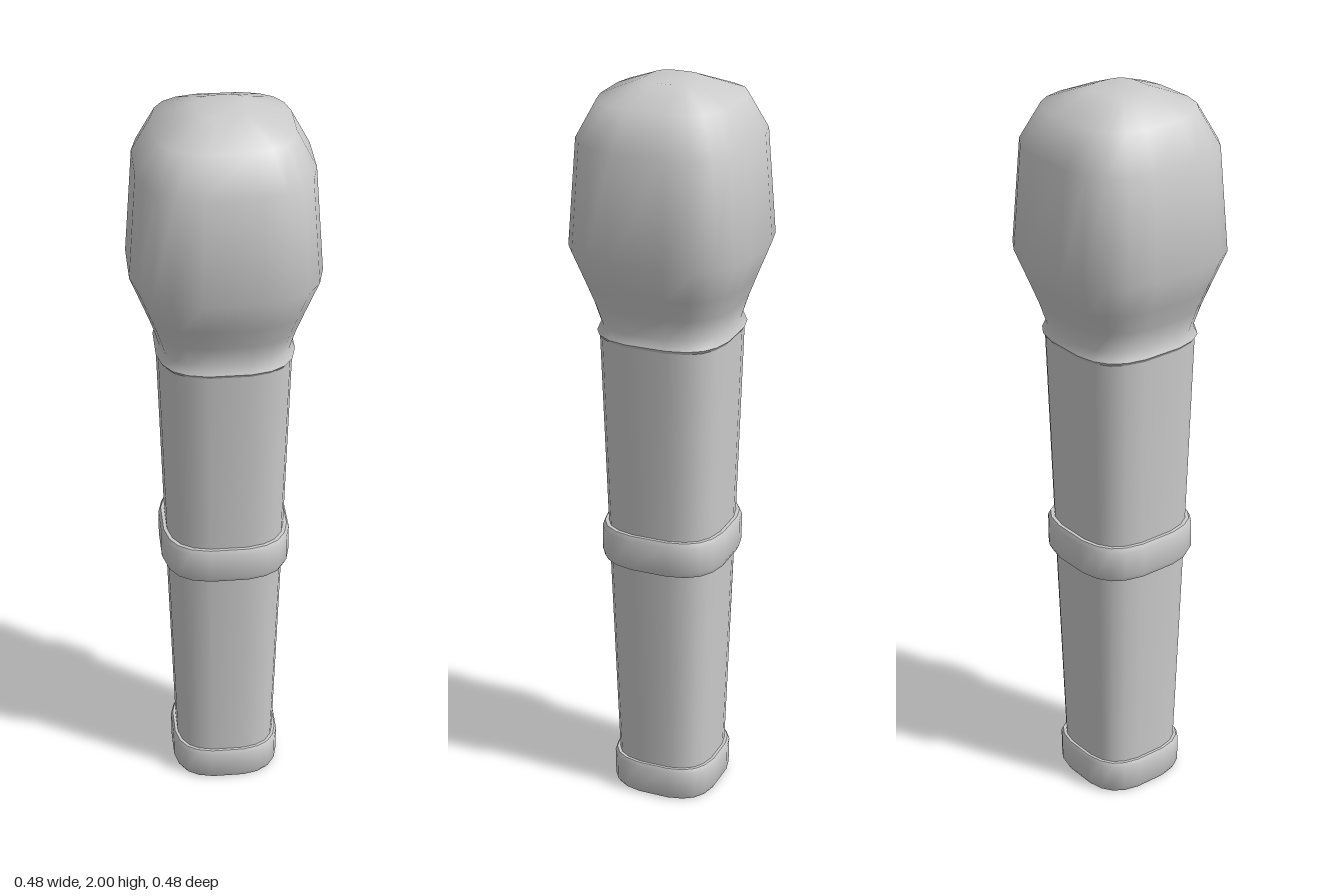
import * as THREE from 'three';
import { toCreasedNormals } from 'three/addons/utils/BufferGeometryUtils.js';

// Rounded-square cross-section of half-width 1: one quarter, turned four times
const QUARTER = [[1, -0.31], [1, 0.31], [0.93, 0.6], [0.8, 0.8], [0.6, 0.93]];
const SECTION = [];
for (let q = 0; q < 4; q++) {
  for (const [a, b] of QUARTER) {
    SECTION.push([[a, b], [-b, a], [-a, -b], [b, -a]][q]);
  }
}

// Skin a profile of [halfWidth, y] rings, listed from bottom to top
function loft(profile, crease) {
  const n = SECTION.length;
  const positions = [];
  const index = [];
  for (const [r, y] of profile) {
    for (const [x, z] of SECTION) positions.push(x * r, y, z * r);
  }
  for (let i = 0; i < profile.length - 1; i++) {
    for (let j = 0; j < n; j++) {
      const a = i * n + j;
      const b = i * n + (j + 1) % n;
      const c = a + n;
      const d = b + n;
      if (profile[i][0] > 0) index.push(a, c, b);
      if (profile[i + 1][0] > 0) index.push(b, c, d);
    }
  }
  const geometry = new THREE.BufferGeometry();
  geometry.setAttribute('position', new THREE.Float32BufferAttribute(positions, 3));
  geometry.setIndex(index);
  return toCreasedNormals(geometry, crease);
}

export function createModel() {
  const group = new THREE.Group();
  const material = new THREE.MeshStandardMaterial({ color: 0xcccccc });

  function addPart(name, profile, crease = 0.9) {
    const mesh = new THREE.Mesh(loft(profile, crease), material);
    mesh.name = name;
    group.add(mesh);
  }

  // Foot ring with a flat underside
  addPart('baseCap', [
    [0, 0], [0.138, 0], [0.145, 0.012], [0.146, 0.085], [0.141, 0.095], [0, 0.095],
  ]);

  // Tapered handle
  addPart('handle', [[0, 0.08], [0.133, 0.08], [0.153, 0.7], [0.172, 1.34], [0, 1.34]]);

  // Ring around the middle of the handle
  addPart('middleBand', [
    [0.145, 0.7], [0.164, 0.7], [0.171, 0.715], [0.171, 0.787], [0.165, 0.8], [0.145, 0.8],
  ]);

  // Bulbous head, rising from a small collar lip
  addPart('head', [
    [0, 1.33], [0.168, 1.33], [0.178, 1.345], [0.168, 1.37], [0.186, 1.43],
    [0.208, 1.49], [0.242, 1.58], [0.222, 1.86], [0.173, 1.955], [0.065, 2], [0, 1.996],
  ]);

  return group;
}
